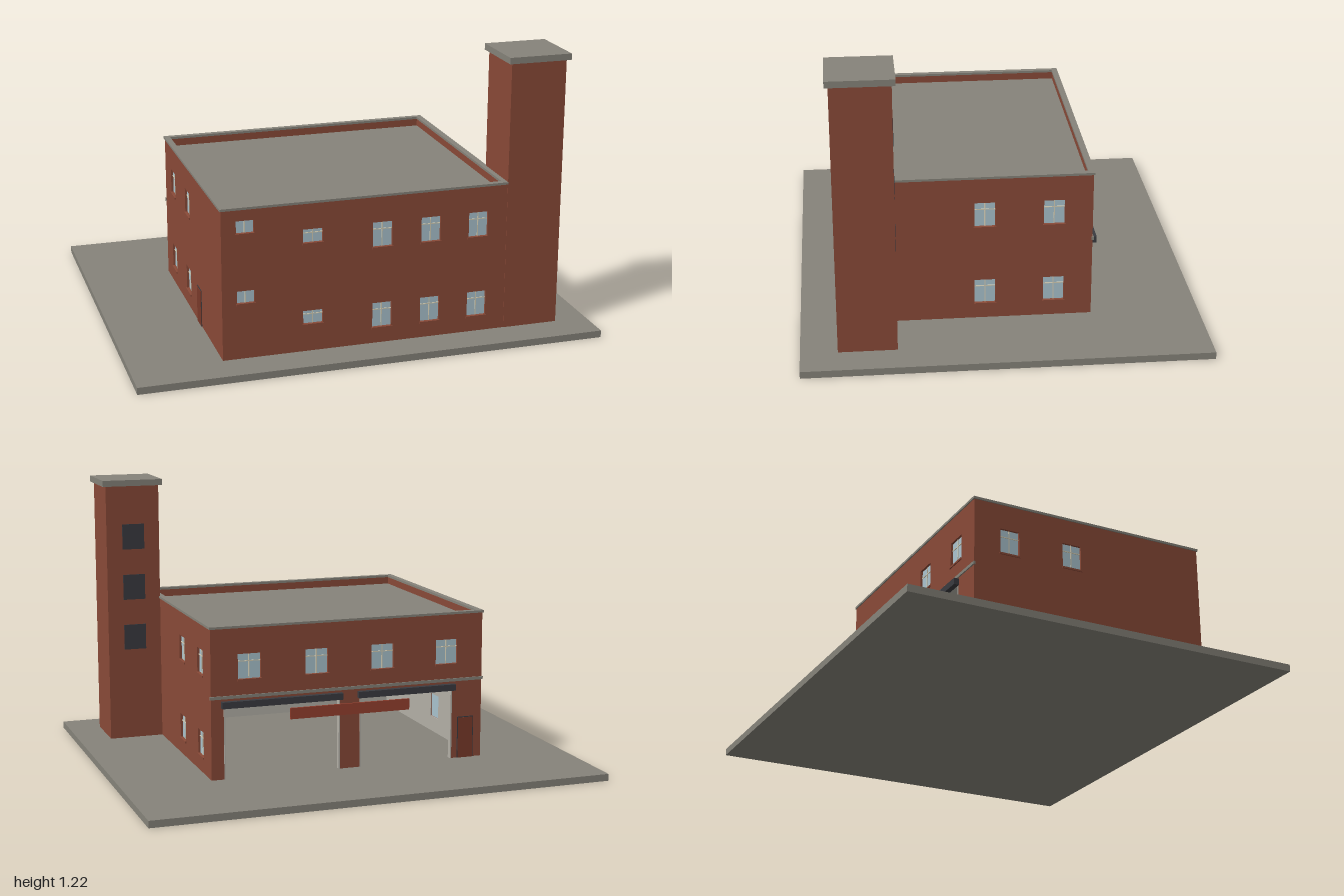
import * as THREE from 'three';

const paint = (name, color) => {
  const m = new THREE.MeshStandardMaterial({ color });
  m.name = name;
  return m;
};

export function createModel() {
  const model = new THREE.Group();
  model.name = 'stationBuilding';
  const brick = paint('brick', 0x8a4a38);
  const concrete = paint('concrete', 0x86837a);
  const plaster = paint('plaster', 0xb4b1a8);
  const glass = paint('glass', 0xaac4cf);
  const cream = paint('cream', 0xd6d0b8);
  const charcoal = paint('charcoal', 0x3a3b40);
  const signRed = paint('signRed', 0x96402f);
  const doorBrown = paint('doorBrown', 0x7a3a2a);

  // Box given by its extents on each axis
  const box = (parent, name, mat, x0, x1, y0, y1, z0, z1) => {
    const mesh = new THREE.Mesh(new THREE.BoxGeometry(x1 - x0, y1 - y0, z1 - z0), mat);
    mesh.position.set((x0 + x1) / 2, (y0 + y1) / 2, (z0 + z1) / 2);
    mesh.name = name;
    parent.add(mesh);
    return mesh;
  };

  const GROUND = 0.03, TOP = 0.672, X = 0.615, ZF = 0.69, ZB = -0.385, T = 0.02;
  const CEILING = 0.37;

  // Flat slab with holes, outer face at z = front
  const slab = (parent, name, mat, outline, holes, front, depth) => {
    const shape = new THREE.Shape(outline.map(([u, v]) => new THREE.Vector2(u, v)));
    for (const { u, v0, v1, w } of holes) {
      shape.holes.push(new THREE.Path([
        [u - w / 2, v0], [u - w / 2, v1], [u + w / 2, v1], [u + w / 2, v0],
      ].map(([a, b]) => new THREE.Vector2(a, b))));
    }
    const geo = new THREE.ExtrudeGeometry(shape, { depth, bevelEnabled: false });
    geo.translate(0, 0, front - depth);
    const mesh = new THREE.Mesh(geo, mat);
    mesh.name = name;
    parent.add(mesh);
  };

  // Recessed pane with glazing bars and a sill
  const addWindow = (parent, { u, v0, v1, w, transom = true }) => {
    const g = new THREE.Group();
    g.name = 'window';
    const a = u - w / 2, b = u + w / 2, bar = 0.002;
    box(g, 'pane', glass, a, b, v0, v1, -0.018, -0.01);
    box(g, 'mullion', cream, u - bar, u + bar, v0, v1, -0.01, -0.007);
    if (transom) {
      const h = v1 - (v1 - v0) * 0.3;
      box(g, 'transom', cream, a, b, h - bar, h + bar, -0.01, -0.007);
    }
    box(g, 'sill', brick, a - 0.004, b + 0.004, v0 - 0.008, v0, -0.008, 0.005);
    parent.add(g);
  };

  // Wall in its own frame: u across, v up, outside towards +z
  const addWall = (name, x, z, turn, outline, windows, lining) => {
    const g = new THREE.Group();
    g.name = name;
    g.position.set(x, 0, z);
    g.rotation.y = turn;
    slab(g, 'brickwork', brick, outline, windows, 0, T);
    if (lining) slab(g, 'lining', plaster, lining, windows.filter((o) => o.v1 < CEILING), -T, 0.004);
    windows.forEach((o) => addWindow(g, o));
    model.add(g);
    return g;
  };
  const rect = (u0, u1, v0, v1) => [[u0, v0], [u1, v0], [u1, v1], [u0, v1]];

  // Ground slab
  box(model, 'groundSlab', concrete, -1, 1, 0, GROUND, -0.846, 0.846);

  // Front wall: two storeys of windows
  const frontWindows = [];
  for (const u of [0.067, 0.278, 0.488]) {
    frontWindows.push({ u, w: 0.084, v0: 0.1, v1: 0.208 }, { u, w: 0.084, v0: 0.455, v1: 0.562 });
  }
  for (const v1 of [0.208, 0.562]) frontWindows.push({ u: -0.232, w: 0.084, v0: v1 - 0.058, v1 });
  for (const v1 of [0.325, 0.625]) {
    frontWindows.push({ u: -0.516, w: 0.074, v0: v1 - 0.053, v1, transom: false });
  }
  addWall('frontWall', 0, ZF, 0, rect(-X, X, GROUND, TOP), frontWindows,
    rect(-X + T, X - T, GROUND, CEILING));

  // Side walls, mirrored
  for (const s of [1, -1]) {
    const windows = [];
    for (const z of [0.067, -0.223]) {
      for (const v0 of [0.1, 0.455]) windows.push({ u: -s * z, w: 0.087, v0, v1: v0 + 0.108 });
    }
    const ends = [-s * (ZB + T), -s * (ZF - T)].sort((a, b) => a - b);
    const wall = addWall(s > 0 ? 'leftWall' : 'rightWall', s * X, 0, s * Math.PI / 2,
      rect(ends[0], ends[1], GROUND, TOP), windows, rect(ends[0], ends[1], GROUND, CEILING));
    if (s < 0) {
      box(wall, 'sideDoorFrame', charcoal, 0.236, 0.314, GROUND, 0.194, -0.004, 0.002);
      box(wall, 'sideDoor', doorBrown, 0.24, 0.31, GROUND, 0.19, -0.004, 0.004);
    }
  }

  // Back wall: two vehicle bays between piers (u = -x)
  const BAY = 0.365;
  const bays = [[-0.56, -0.045], [0.045, 0.475]];
  const outline = [[-X, GROUND]];
  for (const [a, b] of bays) outline.push([a, GROUND], [a, BAY], [b, BAY], [b, GROUND]);
  outline.push([X, GROUND], [X, TOP], [-X, TOP]);
  const backWindows = [-0.447, -0.149, 0.149, 0.447].map((u) => ({ u, w: 0.1, v0: 0.455, v1: 0.562 }));
  const back = addWall('backWall', 0, ZB, Math.PI, outline, backWindows);
  for (const [a, b] of bays) {
    box(back, 'rolledShutter', charcoal, a - 0.012, b + 0.008, 0.338, 0.366, 0.003, 0.025);
    box(back, 'bayTrim', plaster, a, a + 0.006, GROUND, BAY, -0.02, 0.003);
    box(back, 'bayTrim', plaster, b - 0.006, b, GROUND, BAY, -0.02, 0.003);
  }
  box(back, 'lintelBand', concrete, -0.62, 0.62, 0.375, 0.388, -0.004, 0.005);
  box(back, 'signBoard', signRed, -0.27, 0.27, 0.268, 0.316, 0.003, 0.012);
  box(back, 'backDoorFrame', charcoal, 0.502, 0.578, GROUND, 0.214, -0.004, 0.002);
  box(back, 'backDoor', doorBrown, 0.506, 0.574, GROUND, 0.21, -0.004, 0.004);

  // Upper floor and roof deck
  const inX = X - T, inF = ZF - T, inB = ZB + T;
  box(model, 'upperFloor', plaster, -inX, inX, CEILING, 0.39, inB, inF);
  box(model, 'roofDeck', concrete, -inX, inX, 0.62, 0.64, inB, inF);

  // Parapet coping around the roof
  const cO = X + 0.005, cI = X - T - 0.001;
  for (const [z0, z1] of [[ZB - 0.005, inB + 0.001], [inF - 0.001, ZF + 0.004]]) {
    box(model, 'coping', concrete, -cO, z0 > 0 ? X : cO, TOP, 0.682, z0, z1);
  }
  box(model, 'coping', concrete, -cO, -cI, TOP, 0.682, inB, inF);
  box(model, 'coping', concrete, cI, cO, TOP, 0.682, inB, inF);

  // Drill tower with three dark louvres facing the yard
  const tower = new THREE.Group();
  tower.name = 'tower';
  box(tower, 'shaft', brick, X, 0.857, GROUND, 1.19, 0.447, ZF + 0.002);
  box(tower, 'towerCap', concrete, 0.6, 0.872, 1.19, 1.217, 0.432, 0.707);
  for (const y of [0.5, 0.73, 0.96]) {
    box(tower, 'louvre', charcoal, 0.685, 0.785, y - 0.057, y + 0.057, 0.443, 0.45);
  }
  model.add(tower);

  return model;
}
